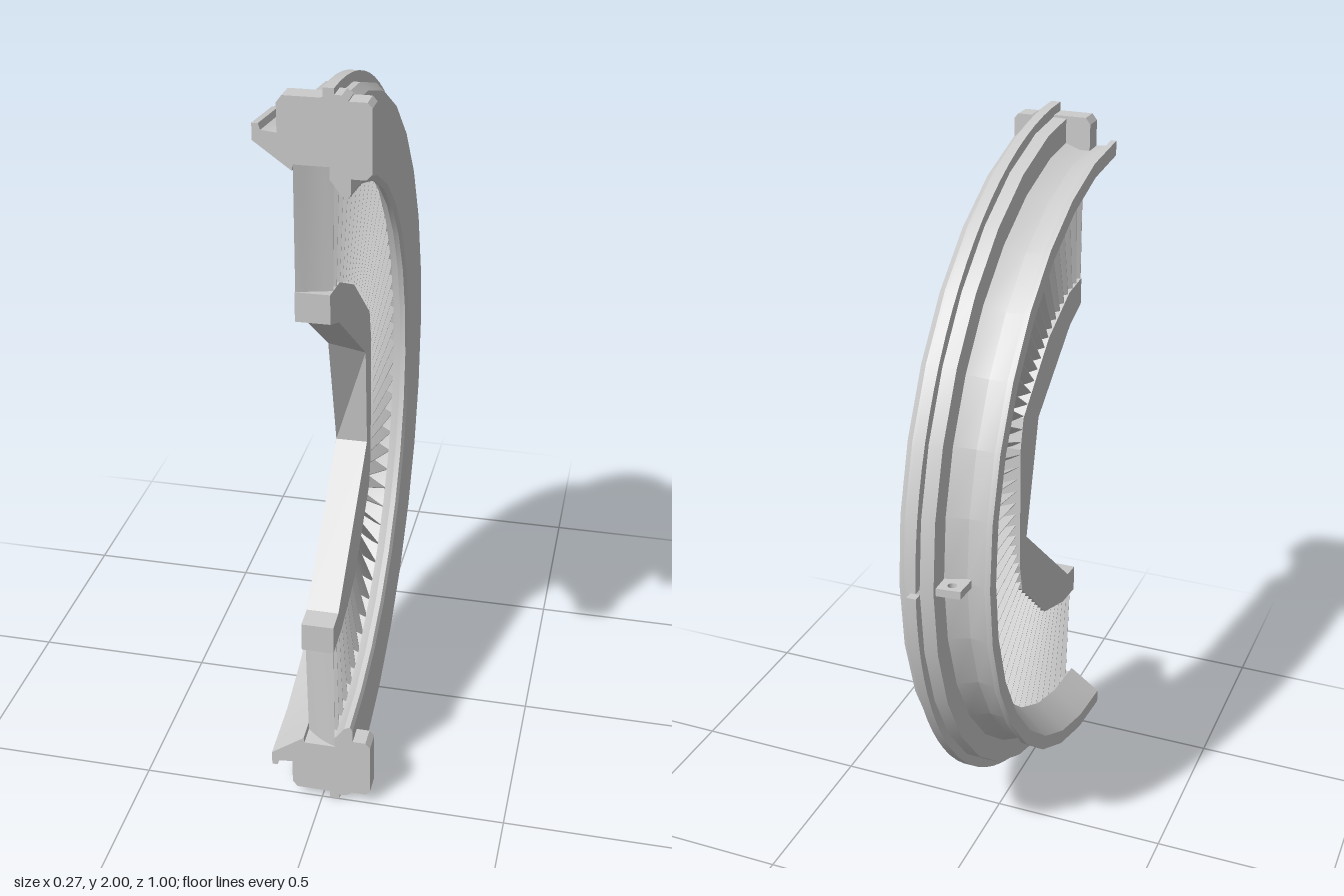
import * as THREE from 'three';
import { toCreasedNormals, mergeGeometries } from 'three/addons/utils/BufferGeometryUtils.js';

const grey = new THREE.MeshStandardMaterial({ color: 0xcccccc, side: THREE.DoubleSide });
const CY = 1, CZ = 0.5; // centre of the half ring, whose axis runs along x

const toShape = pts => new THREE.Shape(pts.map(p => new THREE.Vector2(p[0], p[1])));

function mesh(name, geometry) {
  const m = new THREE.Mesh(geometry, grey);
  m.name = name;
  return m;
}

// Sweep a closed (x, radius) profile around the axis; angle 0 is the top, PI the bottom
function arc(name, profile, a0, a1, segments) {
  const pts = [...profile, profile[0]].map(([x, r]) => new THREE.Vector2(r, x));
  const sweep = new THREE.LatheGeometry(pts, segments, 1.5 * Math.PI - a1, a1 - a0);
  sweep.rotateZ(-Math.PI / 2);
  const group = new THREE.Group();
  group.name = name;
  group.add(mesh(name + 'Surface', toCreasedNormals(sweep, 0.45)));
  for (const a of [a0, a1]) {
    const cap = new THREE.ShapeGeometry(toShape(profile));
    if (a === a0) cap.rotateX(-a);
    else cap.rotateX(-a).rotateX(0);
    group.add(mesh(name + 'EndFace', cap));
  }
  group.position.set(0, CY, CZ);
  return group;
}

// One thin cambered blade, lofted between the inner and outer radius
function bladeGeometry(angle, r0, r1, sweepAngle) {
  const section = [];
  const n = 4;
  for (const side of [1, -1]) {
    for (let i = 0; i <= n; i++) {
      const t = side > 0 ? i / n : 1 - i / n;
      const thick = 0.003 * Math.sin(Math.PI * (0.1 + 0.8 * t));
      const camber = 0.1 * Math.sin(Math.PI * t);
      section.push([-0.048 + 0.083 * t, (t - 0.5 + camber) * sweepAngle, side * thick]);
    }
  }
  const pos = [], index = [], count = section.length;
  for (const r of [r0, r1]) {
    for (const [x, da, off] of section) {
      const a = angle + da + off / r;
      pos.push(x, CY + r * Math.cos(a), CZ - r * Math.sin(a));
    }
  }
  for (let i = 0; i < count; i++) {
    const j = (i + 1) % count;
    index.push(i, j, count + j, i, count + j, count + i);
  }
  const g = new THREE.BufferGeometry();
  g.setAttribute('position', new THREE.Float32BufferAttribute(pos, 3));
  g.setIndex(index);
  return toCreasedNormals(g, 0.6);
}

export function createModel() {
  const model = new THREE.Group();
  model.name = 'halfVaneRing';

  // Outer casing with its conical lip on the -x side
  const casing = [
    [-0.14, 0.91], [-0.125, 0.91], [-0.12, 0.895], [-0.07, 0.89], [-0.015, 0.91],
    [-0.015, 0.975], [0.065, 0.978], [0.085, 0.96], [0.085, 0.76], [0.078, 0.747],
    [0.062, 0.755], [0.045, 0.78], [0.036, 0.79], [0.036, 0.82], [-0.048, 0.82],
    [-0.05, 0.805], [-0.14, 0.87],
  ];
  model.add(arc('casing', casing, 0, Math.PI, 16));

  // Thin outer flange, split by a small notch at mid height
  const flange = [[0.022, 0.95], [0.022, 1], [0.048, 1], [0.048, 0.95]];
  const mid = Math.PI / 2, gap = 0.008;
  model.add(arc('upperFlange', flange, 0, mid - gap, 24));
  model.add(arc('lowerFlange', flange, mid + gap, Math.PI, 24));

  // Split-line lugs at both ends of the casing
  const lugs = {
    sideLug: [[0.04, 0.785], [0.06, 0.785], [0.07, 0.795], [0.12, 0.795], [0.133, 0.81],
      [0.133, 0.96], [0.122, 0.972], [0.04, 0.972]],
    innerLug: [[-0.083, 0.89], [-0.083, 0.96], [-0.07, 0.977], [0.02, 0.977], [0.02, 0.89]],
    flangePin: [[0.04, 0.95], [0.04, 0.985], [0.065, 0.985], [0.08, 0.975], [0.08, 0.95]],
  };
  for (const [name, pts] of Object.entries(lugs)) {
    for (const s of [1, -1]) {
      const g = new THREE.ExtrudeGeometry(toShape(pts.map(([x, r]) => [x, s * r])),
        { depth: 0.055, bevelEnabled: false });
      g.translate(0, CY, CZ - 0.055);
      model.add(mesh((s > 0 ? 'upper_' : 'lower_') + name, g));
    }
  }

  // Drilled tab on the back of the casing, drawn in x and -z
  const tab = toShape([[-0.083, 0.37], [-0.079, 0.455], [-0.01, 0.462], [-0.01, 0.37]]);
  const hole = new THREE.Path();
  hole.absarc(-0.048, 0.433, 0.012, 0, Math.PI * 2, true);
  tab.holes.push(hole);
  const tabGeo = new THREE.ExtrudeGeometry(tab, { depth: 0.022, bevelEnabled: false });
  tabGeo.rotateX(-Math.PI / 2).translate(0, CY - 0.011, 0);
  model.add(mesh('drilledTab', tabGeo));

  // Row of staggered vanes
  const vaneCount = 46, step = Math.PI / vaneCount, blades = [];
  for (let i = 0; i < vaneCount; i++) {
    blades.push(bladeGeometry((i + 0.5) * step, 0.5, 0.825, step * 0.9));
  }
  model.add(mesh('vanes', mergeGeometries(blades)));

  // Faceted inner ring, drawn in -z and y
  const inner = toShape([
    [-0.5, 1.51], [-0.4, 1.5], [-0.24, 1.425], [-0.05, 1.265], [-0.03, 1.18], [-0.03, 0.82],
    [-0.05, 0.735], [-0.24, 0.555], [-0.4, 0.5], [-0.5, 0.49],
    [-0.5, 0.57], [-0.44, 0.575], [-0.08, 0.89], [-0.1, 1.17], [-0.41, 1.4], [-0.5, 1.435],
  ]);
  const innerGeo = new THREE.ExtrudeGeometry(inner, { depth: 0.085, bevelEnabled: false });
  const p = innerGeo.attributes.position;
  for (let i = 0; i < p.count; i++) {
    // The inner corner is set back on the -x face
    if (p.getZ(i) < 0.01 && Math.abs(p.getY(i) - 1.17) < 0.002) p.setXY(i, -0.165, 1.22);
  }
  innerGeo.rotateY(Math.PI / 2).translate(-0.05, 0, 0);
  innerGeo.computeVertexNormals();
  model.add(mesh('innerRing', innerGeo));

  return model;
}
